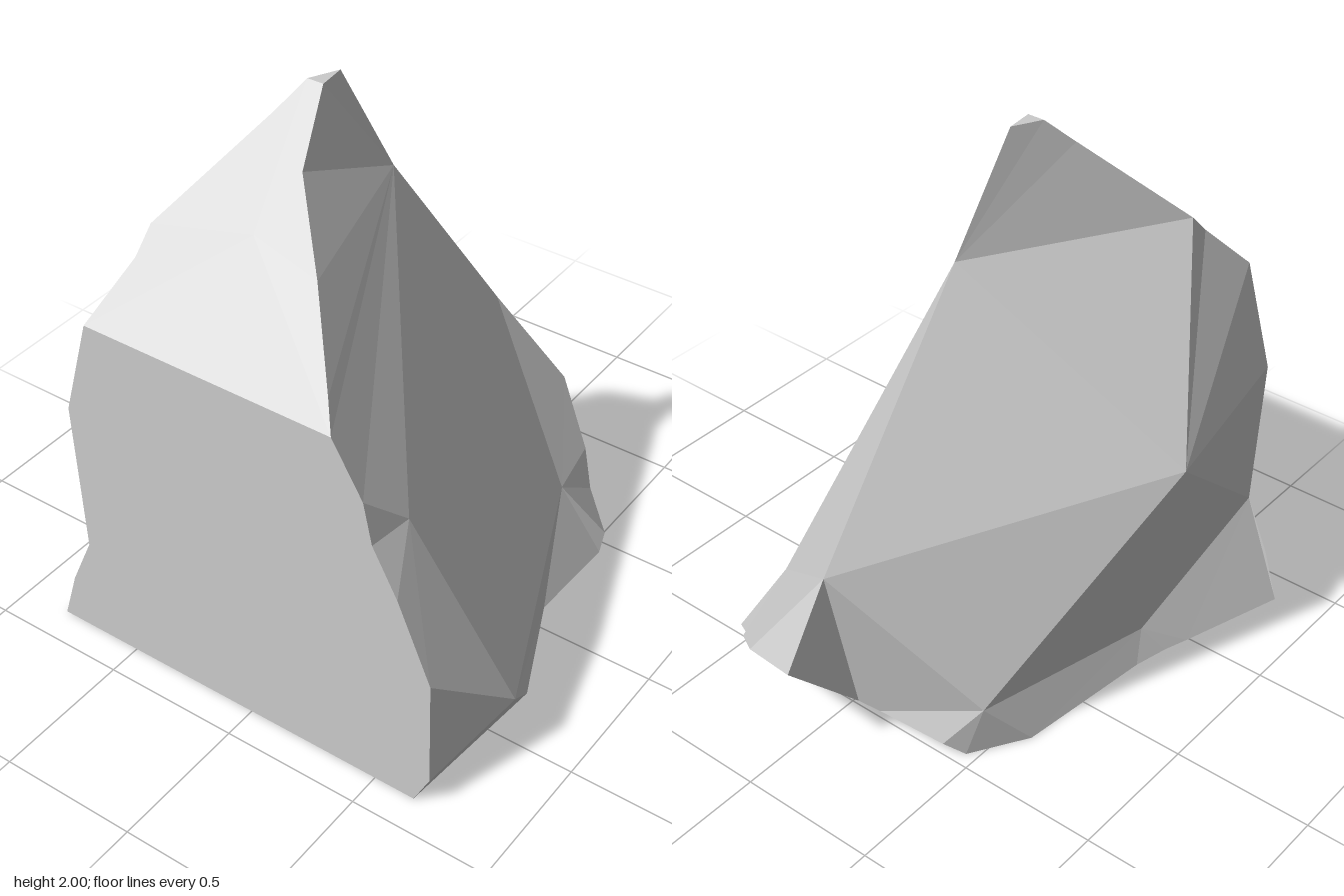
import * as THREE from 'three';

// Corner points by name: l = left cut, b = base, r = lower right cut, u = upper cut
const P = {};
const addLoop = (prefix, pairs, place) =>
  pairs.forEach(([a, b], i) => { P[prefix + i] = new THREE.Vector3(...place(a, b)); });

// Vertical cut, pairs of y, z
addLoop('l', [[1.33, 0.36], [1.14, 0.47], [0.99, 0.50], [0.82, 0.59], [0.53, 0.71], [0.12, 0.71],
  [0, 0.65], [0, -0.82], [0.19, -0.76], [0.39, -0.67], [0.96, -0.69], [1.33, -0.58]],
(y, z) => [-0.88, y, z]);
// Flat base, pairs of x, z
addLoop('b', [[-0.29, 0.70], [0.09, 0.53], [0.45, 0.54], [0.45, -0.46], [0.25, -0.58],
  [-0.27, -0.64], [-0.40, -0.67], [-0.49, -0.70]],
(x, z) => [x, 0, z]);
// Lower 45 degree cut, pairs of y, z
addLoop('r', [[0.05, 0.53], [0.14, 0.41], [0.23, 0.33], [0.38, 0.14], [0.43, -0.08],
  [0.17, -0.14], [0.13, -0.20], [0.06, -0.41]],
(y, z) => [y + 0.45, y, z]);
// Upper 45 degree cut, pairs of x, z
addLoop('u', [[-0.81, 0.30], [-0.60, 0.11], [-0.40, -0.09], [-0.21, -0.15], [-0.21, -0.21],
  [-0.30, -0.27], [-0.62, -0.51], [-0.70, -0.51]],
(x, z) => [x, x + 2.21, z]);

// Free corners of the rough faces
const hubs = {
  tip: [-0.11, 2, -0.16], shoulder: [0.08, 1.59, -0.10], side: [0.71, 0.72, -0.09],
  frontRight: [0.38, 0.29, 0.41], frontLeft: [-0.55, 0.26, 0.81], dent: [-0.72, 0.99, 0.52],
  back: [-0.23, 0.94, -0.80], heel: [0.41, 0.19, -0.50], notch: [-0.33, 0.11, -0.61],
};
for (const [name, p] of Object.entries(hubs)) P[name] = new THREE.Vector3(...p);

// Rough facets: each hub corner fans out to its neighbours, counter-clockwise
const fans = {
  shoulder: 'tip u3 u2 u1 u0 l0 l1 dent frontLeft frontRight side back u6 u5 u4 tip',
  dent: 'l1 l2 l3 l4 frontLeft',
  frontLeft: 'l4 l5 l6 b0 b1 frontRight',
  frontRight: 'b1 b2 r0 r1 r2 r3 side',
  side: 'r3 r4 r5 heel back',
  heel: 'r5 r6 r7 b3 b4 notch back',
  notch: 'b4 b5 b6 b7 l9 back',
  l9: 'b7 l7 l8',
  back: 'l9 l10 l11 u7 u6',
  tip: 'u4 u3',
};

// Flat cuts, counter-clockwise from outside
const cuts = {
  leftCut: 'l11 l10 l9 l8 l7 l6 l5 l4 l3 l2 l1 l0',
  base: 'l7 b7 b6 b5 b4 b3 b2 b1 b0 l6',
  lowerRightCut: 'b3 r7 r6 r5 r4 r3 r2 r1 r0 b2',
  upperLeftCut: 'l0 u0 u1 u2 u3 u4 u5 u6 u7 l11',
};

const points = (names) => names.split(' ').map((n) => P[n]);

function fanTriangles(hub, ring) {
  const out = [];
  for (let i = 0; i + 1 < ring.length; i++) out.push(hub, ring[i], ring[i + 1]);
  return out;
}

export function createModel() {
  const group = new THREE.Group();
  group.name = 'rock';
  const material = new THREE.MeshStandardMaterial({ color: 0xcccccc, flatShading: true });

  const addMesh = (name, corners) => {
    const geometry = new THREE.BufferGeometry().setFromPoints(corners);
    geometry.computeVertexNormals();
    const mesh = new THREE.Mesh(geometry, material);
    mesh.name = name;
    group.add(mesh);
  };

  addMesh('roughFacets', Object.entries(fans).flatMap(([hub, ring]) => fanTriangles(P[hub], points(ring))));

  for (const [name, names] of Object.entries(cuts)) {
    const ring = points(names);
    const centre = ring.reduce((sum, p) => sum.add(p), new THREE.Vector3()).divideScalar(ring.length);
    addMesh(name, fanTriangles(centre, [...ring, ring[0]]));
  }
  return group;
}
